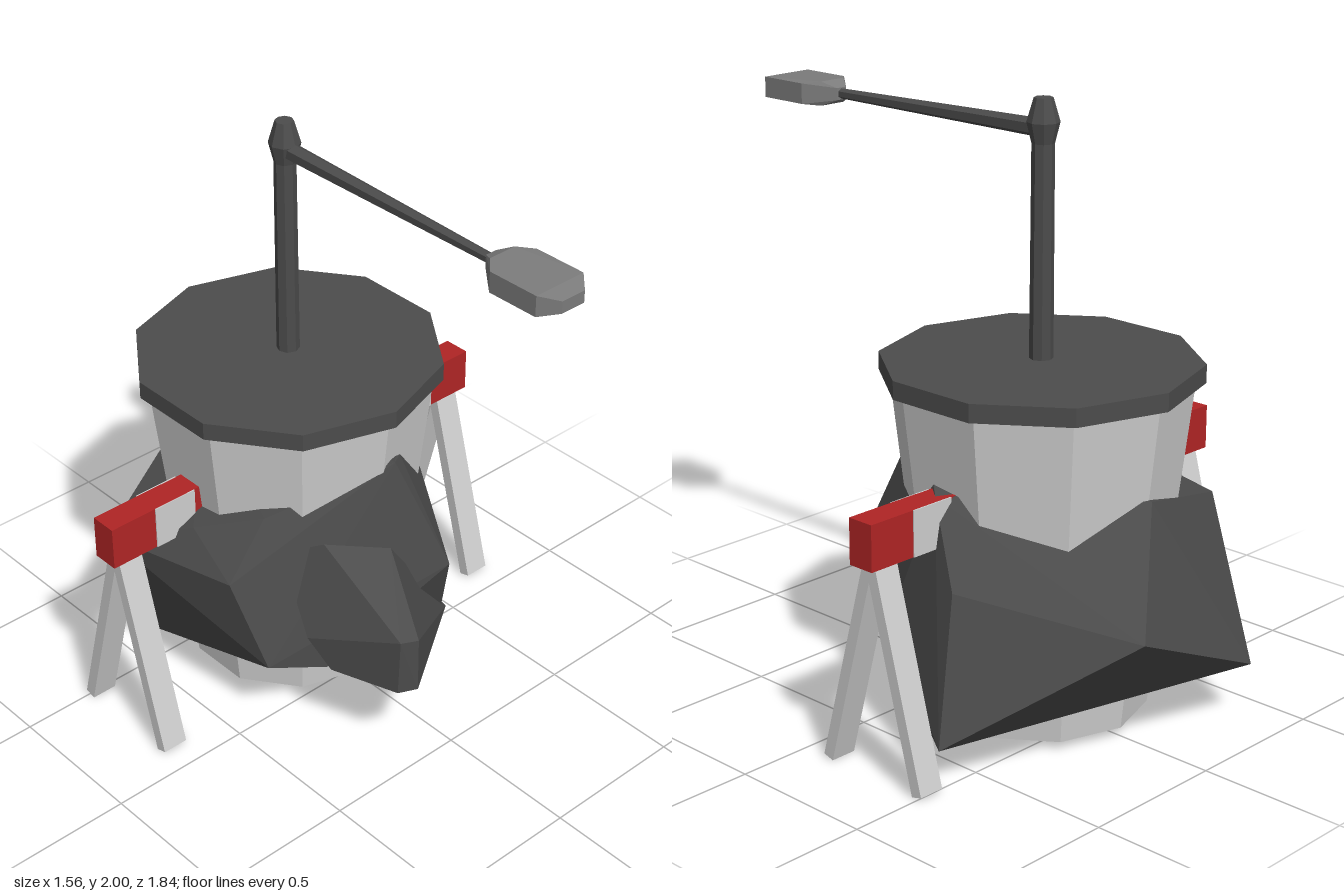
import * as THREE from 'three';
import { ConvexGeometry } from 'three/addons/geometries/ConvexGeometry.js';

const flat = (name, color) => {
  const m = new THREE.MeshStandardMaterial({ color, flatShading: true });
  m.name = name;
  return m;
};

export function createModel() {
  const dark = flat('dark grey', 0x4c4c4c);
  const light = flat('light grey', 0xcfcfcf);
  const red = flat('barrier red', 0xb02525);
  const mid = flat('lamp grey', 0x7c7c7c);

  const model = new THREE.Group();
  const Z = -0.3; // axis of the drum and pole

  const add = (name, geo, mat, x = 0, y = 0, z = 0, parent = model) => {
    const mesh = new THREE.Mesh(geo, mat);
    mesh.name = name;
    mesh.position.set(x, y, z);
    parent.add(mesh);
    return mesh;
  };
  const hull = (pts) => new ConvexGeometry(pts.map((p) => new THREE.Vector3(...p)));

  // Tapered ten-sided drum and its lid
  add('drum', new THREE.CylinderGeometry(0.483, 0.355, 1.09, 10), light, 0, 0.575, Z);
  add('lid', new THREE.CylinderGeometry(0.515, 0.515, 0.06, 10), dark, 0, 1.15, Z);

  // Rock wrapped around the drum
  add('rock', hull([
    [0.04, 0.945, 0.17], [0.1, 0.925, 0.13], [0.18, 0.53, 0.29],
    [0.48, 0.85, -0.31], [0.56, 0.6, -0.46], [0.66, 0.13, -0.5],
    [0.49, 0.4, -0.12], [0.25, 0.22, 0.18], [0.2, 0.19, 0.1],
    [0.21, 0.46, -0.92], [-0.37, 0.2, -0.88], [0, 0.82, -0.76],
    [-0.63, 0.62, -0.5], [-0.45, 0.08, -0.65], [-0.5, 0.75, -0.2],
    [-0.37, 0.83, 0], [-0.52, 0.64, 0], [-0.45, 0.32, 0.1], [-0.25, 0.25, 0.16],
  ]), dark);
  add('rockSpur', hull([
    [-0.24, 0.55, 0.5], [-0.17, 0.53, 0.51], [-0.17, 0.33, 0.51],
    [-0.24, 0.34, 0.49], [-0.24, 0.74, 0.14], [-0.05, 0.69, 0.25],
    [0.03, 0.5, 0.28], [-0.35, 0.44, 0.18], [-0.32, 0.34, 0.26],
    [0.28, 0.235, 0.18], [-0.3, 0.66, 0], [0.05, 0.25, 0.05],
  ]), dark);

  // Lamp post with a faceted cap
  const profile = [[0, 0.025], [0.042, 0.025], [0.036, 1.86], [0.052, 1.925], [0.03, 2], [0, 2]];
  add('pole', new THREE.LatheGeometry(profile.map((p) => new THREE.Vector2(...p)), 8), dark, 0, 0, Z);

  // Tapering arm reaching forward
  const arm = add('lampArm', new THREE.CylinderGeometry(0.017, 0.03, 0.91, 6), dark, 0, 1.9, 0.15);
  arm.rotation.x = Math.PI / 2 + 0.011;

  // Lamp head: z, half width, half height of each section
  const head = [];
  for (const [z, w, h] of [[0.595, 0.02, 0.02], [0.64, 0.05, 0.04], [0.685, 0.095, 0.034],
    [0.865, 0.095, 0.034], [0.918, 0.045, 0.02]]) {
    for (const sx of [-1, 1]) for (const sy of [-1, 1]) head.push([sx * w, 1.895 + sy * h, z]);
  }
  add('lampHead', hull(head), mid);

  // Barrier on each side: striped bar on splayed legs
  for (const s of [-1, 1]) {
    const barrier = new THREE.Group();
    barrier.name = s > 0 ? 'leftBarrier' : 'rightBarrier';
    model.add(barrier);
    add('bar', new THREE.BoxGeometry(0.42, 0.15, 0.094), red, s * 0.572, 0.775, Z, barrier);
    for (const f of [-1, 1]) {
      add('whiteStripe', new THREE.BoxGeometry(0.16, 0.15, 0.005), light,
        s * 0.53, 0.775, Z + f * 0.048, barrier);
      const leg = add('barrierLeg', new THREE.BoxGeometry(0.09, 0.72, 0.04), light,
        s * 0.705, 0.354, Z + f * 0.1, barrier);
      leg.rotation.x = -f * 0.265;
    }
  }

  return model;
}
